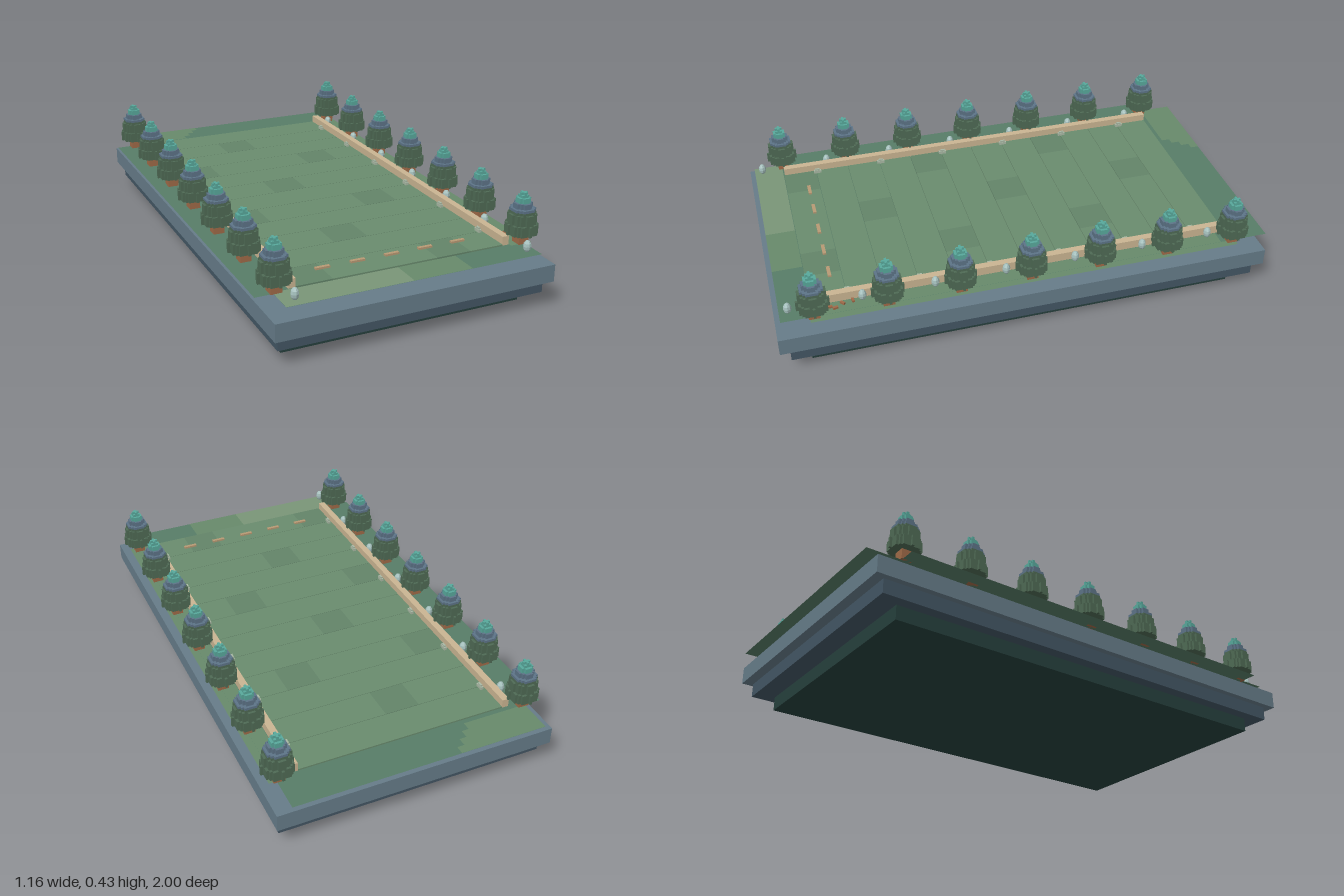
import * as THREE from 'three';
import { mergeGeometries } from 'three/addons/utils/BufferGeometryUtils.js';

const mat = (color, double = false) => new THREE.MeshStandardMaterial({
  color, flatShading: true, side: double ? THREE.DoubleSide : THREE.FrontSide,
});

// Box geometry given by its limits
function boxGeo(x0, x1, y0, y1, z0, z1) {
  return new THREE.BoxGeometry(x1 - x0, y1 - y0, z1 - z0)
    .translate((x0 + x1) / 2, (y0 + y1) / 2, (z0 + z1) / 2);
}

// Horizontal sheet given by its limits
function sheetGeo(x0, x1, z0, z1, y) {
  return new THREE.PlaneGeometry(x1 - x0, z1 - z0).rotateX(-Math.PI / 2)
    .translate((x0 + x1) / 2, y, (z0 + z1) / 2);
}

function add(parent, name, geo, material) {
  const mesh = new THREE.Mesh(geo, material);
  mesh.name = name;
  parent.add(mesh);
  return mesh;
}

// Blocky crown: each layer is a voxel disc made of row boxes
function crownBands() {
  const cell = 0.01025;
  const radii = [6, 6, 6, 6, 5.3, 5.3, 5.3, 5.3, 4.5, 4.5, 3.6, 3.2, 2.6, 2.4, 1.7, 1.3];
  const bands = [[], [], []];
  radii.forEach((r, i) => {
    const y = 0.268 + i * cell;
    const n = Math.floor(r);
    for (let k = -n; k <= n; k++) {
      const half = (Math.floor(Math.sqrt(Math.max(0, r * r - k * k))) + 0.5) * cell * 0.95;
      const z = k * cell * 0.95;
      const d = cell * 0.475;
      bands[i < 9 ? 0 : i < 12 ? 1 : 2].push(boxGeo(-half, half, y, y + cell, z - d, z + d));
    }
  });
  return bands.map((list) => mergeGeometries(list));
}

export function createModel() {
  const root = new THREE.Group();
  root.name = 'treeLinedField';

  // Stepped base
  add(root, 'lowerBase', boxGeo(-0.49, 0.5, 0, 0.058, -0.86, 0.88), mat(0x26403d));
  add(root, 'middleBase', boxGeo(-0.535, 0.55, 0.058, 0.115, -0.94, 0.96), mat(0x435664));
  add(root, 'upperBase', boxGeo(-0.56, 0.57, 0.115, 0.185, -0.98, 1), mat(0x667c89));

  // Floating grass sheets with lighter and darker patches
  const grass = mat(0x577d67, true);
  const lightGrass = mat(0x7a9578, true);
  const midGrass = mat(0x678a6b, true);
  const gy = 0.228;
  add(root, 'grass', sheetGeo(-0.51, 0.52, -1, 0.98, gy), grass);
  add(root, 'rightGrassStrip', sheetGeo(-0.58, -0.51, -0.86, 0.87, gy), grass);
  add(root, 'leftGrassStrip', sheetGeo(0.52, 0.55, -0.86, 0.87, gy), midGrass);
  add(root, 'frontLightPatch', sheetGeo(-0.51, -0.02, 0.86, 0.98, gy + 0.001), lightGrass);
  add(root, 'frontMiddlePatch', sheetGeo(-0.02, 0.22, 0.86, 0.98, gy + 0.001), midGrass);
  add(root, 'leftStripPatch', sheetGeo(0.46, 0.52, -0.8, 0.87, gy + 0.001), midGrass);
  for (let i = 0; i < 4; i++) {
    add(root, 'backPatch', sheetGeo(-0.51, -0.15 - i * 0.03, -1 + i * 0.035, -0.965 + i * 0.035, gy + 0.001), midGrass);
  }

  // Field of tiles in twelve rows, with subtle colour changes
  const tones = [[], []];
  const cols = 6, rows = 12, w = 0.85 / cols, d = 1.7 / rows;
  for (let r = 0; r < rows; r++) {
    for (let c = 0; c < cols; c++) {
      const x = -0.42 + c * w, z = -0.84 + r * d;
      const dark = (c * 2 + r * 3 + (r % 2) * c) % 4 === 1 ? 1 : 0;
      tones[dark].push(boxGeo(x, x + w, 0.224, 0.234, z, z + d - 0.002));
    }
  }
  add(root, 'fieldTiles', mergeGeometries(tones[0]), mat(0x6a8c6e));
  add(root, 'darkFieldTiles', mergeGeometries(tones[1]), mat(0x638469));

  // Dashed marking across the front of the field
  const tan = mat(0xcab592);
  for (let i = -2; i <= 2; i++) {
    const x = 0.006 + i * 0.141;
    add(root, 'dash', boxGeo(x - 0.029, x + 0.029, 0.233, 0.242, 0.758, 0.772), mat(0xb89a74));
  }

  // Low side walls
  add(root, 'rightWall', boxGeo(-0.448, -0.42, 0.225, 0.264, -0.84, 0.855), tan);
  add(root, 'leftWall', boxGeo(0.43, 0.458, 0.225, 0.264, -0.84, 0.855), tan);

  // Short markers inside the walls
  const pale = mat(0xa9b8a4);
  for (const x of [-0.404, 0.415]) {
    for (let i = 0; i < 6; i++) {
      const z = -0.705 + i * 0.2835;
      add(root, 'marker', boxGeo(x - 0.006, x + 0.006, 0.232, 0.246, z - 0.016, z + 0.016), pale);
      add(root, 'markerTop', boxGeo(x - 0.004, x + 0.004, 0.246, 0.253, z - 0.01, z + 0.01), pale);
    }
  }

  // Trees and egg-shaped stones in two rows
  const crown = crownBands();
  const leafMats = [mat(0x4f6b55), mat(0x5d7488), mat(0x58a99c)];
  const bark = mat(0xa06a48);
  const trunkGeo = boxGeo(-0.022, 0.022, 0.228, 0.27, -0.022, 0.022);
  const stoneGeo = new THREE.SphereGeometry(1, 8, 6).scale(0.016, 0.024, 0.016);
  const stoneMat = mat(0xa5c0bd);
  for (const side of [-1, 1]) {
    for (let i = 0; i < 7; i++) {
      const tree = new THREE.Group();
      tree.name = 'tree';
      tree.position.set(0.006 + side * 0.506, 0, -0.845 + i * 0.283);
      add(tree, 'trunk', trunkGeo, bark);
      ['lowerLeaves', 'middleLeaves', 'topLeaves'].forEach((n, b) => add(tree, n, crown[b], leafMats[b]));
      root.add(tree);
      add(root, 'stone', stoneGeo, stoneMat)
        .position.set(0.006 + side * 0.47, 0.255, -0.755 + i * 0.2835);
    }
  }

  // A few loose chips beside the walls
  for (const [x, z] of [[-0.465, 0.17], [-0.46, 0.19], [0.475, 0.7], [0.48, 0.74], [0.5, 0.77], [0.49, 0.79]]) {
    const chip = add(root, 'chip', new THREE.BoxGeometry(0.02, 0.008, 0.01), bark);
    chip.position.set(x, 0.236, z);
    chip.rotation.y = x * 40 + z * 9;
  }
  return root;
}
